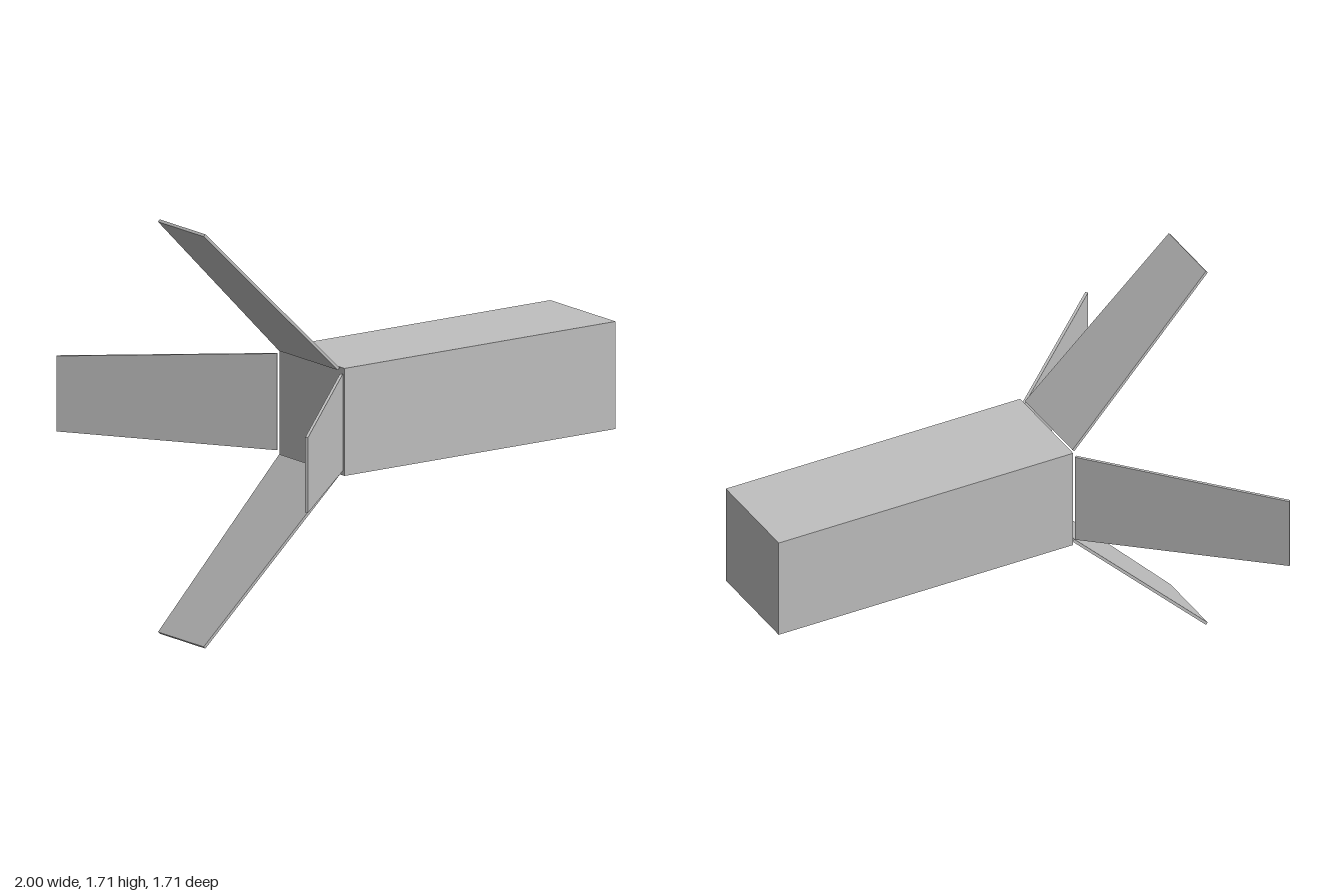
import * as THREE from 'three';

export function createModel() {
  const model = new THREE.Group();
  const grey = new THREE.MeshStandardMaterial({ color: 0xbfbfbf });
  grey.name = 'light grey';

  const axisY = 0.857; // height of the long axis

  // Square-section body
  const body = new THREE.Mesh(new THREE.BoxGeometry(1.348, 0.445, 0.445), grey);
  body.name = 'body';
  body.position.set(0.326, axisY, 0);
  model.add(body);

  // Tapered panel: x along its length, z across its width, y through its thickness
  const length = 0.898, thickness = 0.012;
  const outline = new THREE.Shape([
    new THREE.Vector2(0, -0.2),
    new THREE.Vector2(length, -0.156),
    new THREE.Vector2(length, 0.156),
    new THREE.Vector2(0, 0.2),
  ]);
  const panelGeometry = new THREE.ExtrudeGeometry(outline, { depth: thickness, bevelEnabled: false });
  panelGeometry.translate(0, 0, -thickness / 2);
  panelGeometry.rotateX(Math.PI / 2);

  // Four panels splayed backward at 45 degrees, one from each edge of the end face
  ['topPanel', 'frontPanel', 'bottomPanel', 'backPanel'].forEach((name, i) => {
    const arm = new THREE.Group();
    arm.name = name;
    arm.position.y = axisY;
    arm.rotation.x = i * Math.PI / 2;
    const panel = new THREE.Mesh(panelGeometry, grey);
    panel.name = name + 'Plate';
    panel.position.set(-0.361, 0.218, 0);
    panel.rotation.z = Math.PI * 0.75;
    arm.add(panel);
    model.add(arm);
  });

  return model;
}
